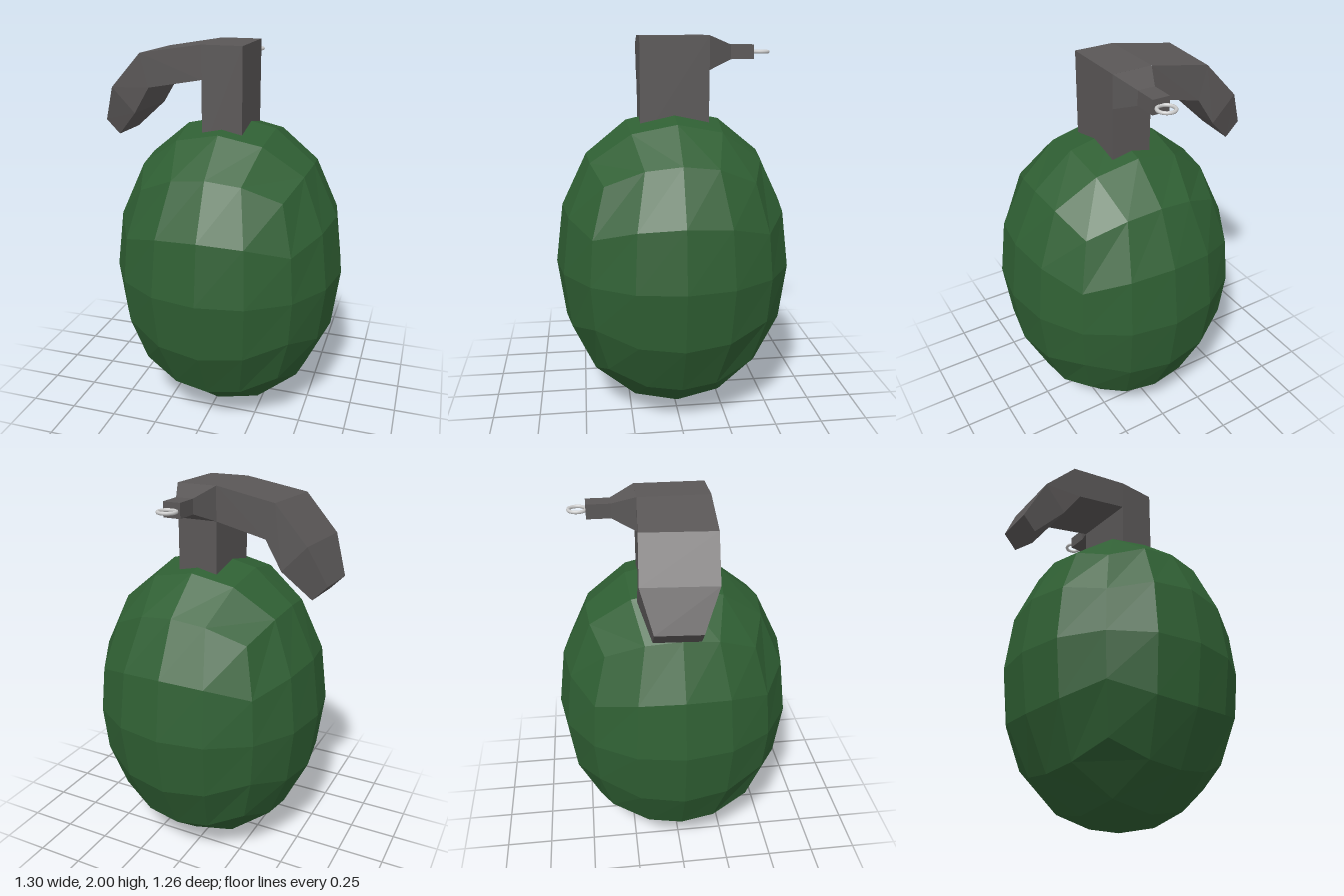
import * as THREE from 'three';

const material = (color) => new THREE.MeshStandardMaterial({ color, flatShading: true });

function part(name, geometry, mat) {
  const mesh = new THREE.Mesh(geometry, mat);
  mesh.name = name;
  return mesh;
}

// Joins four-cornered sections (counter-clockwise seen from the far end) and caps the end
function loft(sections) {
  const pos = [];
  const quad = (a, b, c, d) => pos.push(...a, ...b, ...c, ...a, ...c, ...d);
  for (let s = 0; s + 1 < sections.length; s++) {
    const p = sections[s], q = sections[s + 1];
    for (let i = 0; i < 4; i++) {
      const j = (i + 1) % 4;
      quad(p[i], p[j], q[j], q[i]);
    }
  }
  quad(...sections[sections.length - 1]);
  const g = new THREE.BufferGeometry();
  g.setAttribute('position', new THREE.Float32BufferAttribute(pos, 3));
  g.computeVertexNormals();
  return g;
}

// Egg-shaped body: a 4x4x4 cube bulged into a faceted ellipsoid
function bodyGeometry() {
  const g = new THREE.BoxGeometry(2, 2, 2, 4, 4, 4);
  const p = g.attributes.position;
  const n = new THREE.Vector3();
  const bend = (v) => Math.tan(v * Math.PI / 4);
  for (let i = 0; i < p.count; i++) {
    n.set(bend(p.getX(i)), bend(p.getY(i)), bend(p.getZ(i))).normalize();
    // slightly fuller towards the old cube edges
    const full = 1 + 0.045 * (1 - n.x ** 4 - n.y ** 4 - n.z ** 4);
    n.multiplyScalar(full);
    p.setXYZ(i, 0.035 + n.x * 0.615, 0.816 + n.y * 0.812, n.z * 0.63);
  }
  g.computeVertexNormals();
  return g;
}

// One lever section: top and bottom points in the xy plane, back and front z, skew in x
function leverSection([tx, ty], [bx, by], back, front, skew) {
  return [
    [bx - skew, by, front], [tx - skew, ty, front],
    [tx + skew, ty, back], [bx + skew, by, back],
  ];
}

// One pin-holder section, a rectangle facing -z
function holderSection(x0, x1, y0, y1, z) {
  return [[x0, y0, z], [x0, y1, z], [x1, y1, z], [x1, y0, z]];
}

export function createModel() {
  const group = new THREE.Group();
  group.name = 'grenade';
  const green = material(0x2f5f33);
  const dark = material(0x5a5757);

  group.add(part('body', bodyGeometry(), green));

  // Square fuse head sunk into the top of the body
  const head = part('fuseHead', new THREE.BoxGeometry(0.21, 0.54, 0.355), dark);
  head.position.set(0.035, 1.73, -0.002);
  group.add(head);

  // Lever bending down over the right side
  group.add(part('lever', loft([
    leverSection([-0.07, 2.0], [-0.07, 1.83], -0.18, 0.175, 0),
    leverSection([-0.392, 1.947], [-0.35, 1.775], -0.2, 0.157, 0.012),
    leverSection([-0.563, 1.765], [-0.44, 1.635], -0.214, 0.14, 0.012),
    leverSection([-0.648, 1.575], [-0.575, 1.5], -0.16, 0.06, 0.007),
  ]), dark));

  // Tapered holder for the pin at the back
  group.add(part('pinHolder', loft([
    holderSection(-0.07, 0.14, 1.83, 2.0, -0.179),
    holderSection(-0.01, 0.08, 1.88, 1.953, -0.3),
    holderSection(-0.01, 0.08, 1.88, 1.953, -0.42),
  ]), dark));

  // Pull ring lying flat
  const ring = part('pullRing', new THREE.TorusGeometry(0.043, 0.009, 8, 24),
    new THREE.MeshStandardMaterial({ color: 0xcccccc }));
  ring.rotation.x = Math.PI / 2;
  ring.position.set(0.035, 1.916, -0.461);
  group.add(ring);

  return group;
}
